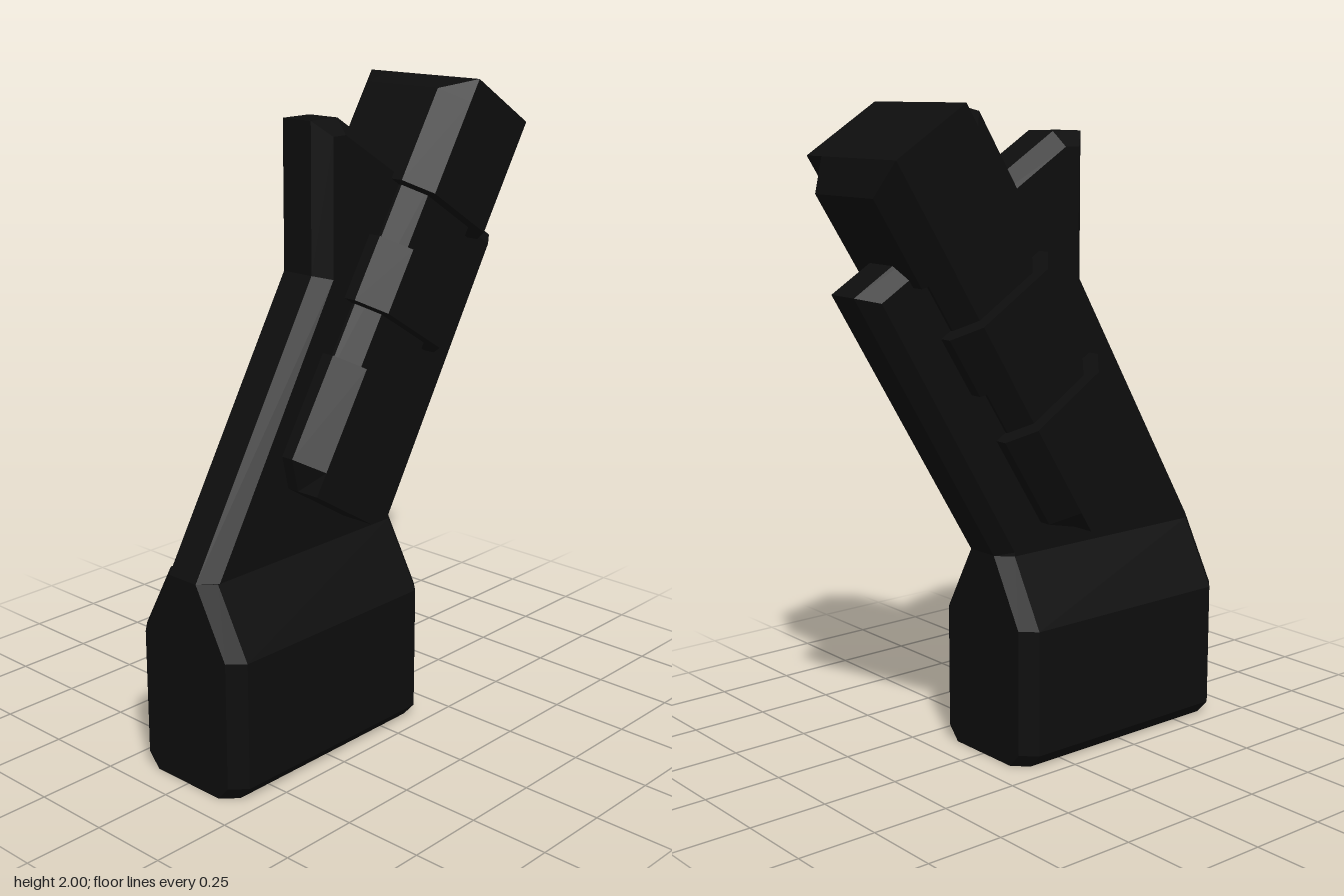
import * as THREE from 'three';

const material = new THREE.MeshStandardMaterial({ color: 0x0d0d0d, flatShading: true });

// Chamfered rectangle at height y, counter-clockwise seen from above.
// hx, hz: half sizes; cx, cz: chamfer along x and z; z0: centre offset.
function octagon(y, hx, hz, cx, cz, z0 = 0) {
  const corners = [
    [-hx + cx, hz], [hx - cx, hz], [hx, hz - cz], [hx, -hz + cz],
    [hx - cx, -hz], [-hx + cx, -hz], [-hx, -hz + cz], [-hx, hz - cz],
  ];
  return corners.map(([x, z]) => [x, y, z + z0]);
}

// Joins rings from bottom to top and caps both ends.
function loft(rings) {
  const pos = [];
  const n = rings[0].length;
  const tri = (a, b, c) => pos.push(...a, ...b, ...c);
  for (let r = 0; r < rings.length - 1; r++) {
    for (let i = 0; i < n; i++) {
      const j = (i + 1) % n;
      const [lo, hi] = [rings[r], rings[r + 1]];
      tri(lo[i], lo[j], hi[j]);
      tri(lo[i], hi[j], hi[i]);
    }
  }
  const bottom = rings[0], top = rings[rings.length - 1];
  for (let i = 1; i < n - 1; i++) {
    tri(bottom[0], bottom[i + 1], bottom[i]);
    tri(top[0], top[i], top[i + 1]);
  }
  const geometry = new THREE.BufferGeometry();
  geometry.setAttribute('position', new THREE.Float32BufferAttribute(pos, 3));
  geometry.computeVertexNormals();
  return geometry;
}

function addMesh(parent, name, geometry) {
  const mesh = new THREE.Mesh(geometry, material);
  mesh.name = name;
  parent.add(mesh);
  return mesh;
}

export function createModel() {
  const model = new THREE.Group();
  model.name = 'model';

  // Wide foot narrowing into the slab
  const foot = [[0, 0.175], [0.045, 0.215], [0.44, 0.215], [0.65, 0.1]];
  addMesh(model, 'base', loft(foot.map(([y, hx]) => octagon(y, hx, 0.41, 0.045, 0.045, 0.25))));

  // Leaning slab with upright front fin, outline in (z, y)
  const outline = [
    [0.66, 0.58], [0.66, 0.65], [0.18, 1.465], [0.18, 1.91],
    [0.07, 1.91], [-0.65, 1.47], [-0.16, 0.65], [-0.16, 0.58],
  ];
  const bevel = 0.045;
  const slab = new THREE.ExtrudeGeometry(
    new THREE.Shape(outline.map(([z, y]) => new THREE.Vector2(-z, y))),
    { depth: 0.2 - 2 * bevel, bevelEnabled: true, bevelSegments: 1,
      bevelThickness: bevel, bevelSize: bevel, bevelOffset: -bevel });
  slab.translate(0, 0, bevel - 0.1).rotateY(Math.PI / 2);
  addMesh(model, 'slab', slab);

  // Tilted barrel built along its own y axis
  const barrel = new THREE.Group();
  barrel.name = 'barrel';
  barrel.position.set(0, 0.79, 0.21);
  barrel.rotation.x = -THREE.MathUtils.degToRad(32);
  model.add(barrel);

  const H = 0.215, C = 0.075, length = 1.335;
  const full = (y) => octagon(y, H, H, C, C);
  const blunt = (y) => octagon(y, H, H - C, C, 0); // end edge cut at front and back
  addMesh(barrel, 'lowerBlock', loft([blunt(0), full(C), full(0.4)]));
  addMesh(barrel, 'middleBlock', loft([full(0.575), full(0.78)]));
  addMesh(barrel, 'upperBlock', loft([full(0.96), full(length - C), blunt(length)]));

  // Recessed core showing in the gaps between the blocks
  const core = (y) => octagon(y, 0.17, 0.175, 0.06, 0.06);
  addMesh(barrel, 'core', loft([core(0.3), core(1.05)]));

  return model;
}
